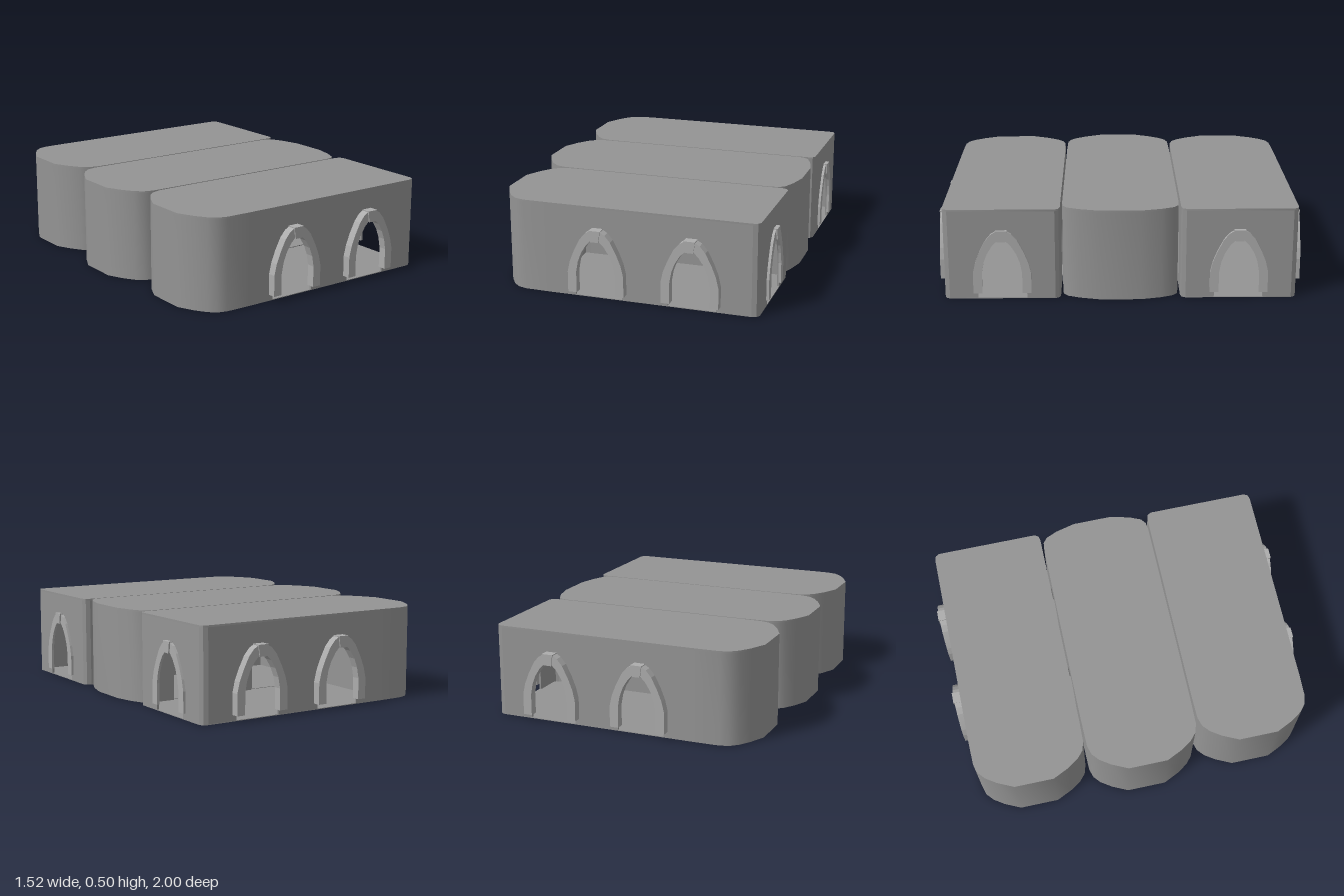
import * as THREE from 'three';
import { toCreasedNormals } from 'three/addons/utils/BufferGeometryUtils.js';

const WALL_MAT = new THREE.MeshStandardMaterial({ color: 0x949494, side: THREE.DoubleSide });
const TRIM_MAT = new THREE.MeshStandardMaterial({ color: 0xacacac, side: THREE.DoubleSide });
const HEIGHT = 0.505, FLOOR = 0.004, ROOF = 0.01, WALL = 0.012, HALF = 0.313;
const END_X = 0.737, BLOCK_Z = 0.636;

// Right halves of the arch curves, from the foot up to the crown
const FRAME_OUT = [[0.156, 0.035], [0.156, 0.15], [0.142, 0.21], [0.118, 0.27], [0.085, 0.335], [0.055, 0.37], [0.03, 0.385]];
const FRAME_IN = [[0.108, 0.035], [0.108, 0.15], [0.097, 0.21], [0.078, 0.26], [0.05, 0.305], [0.025, 0.33]];
const OPENING = [[0.132, FLOOR], [0.13, 0.15], [0.118, 0.21], [0.095, 0.27], [0.062, 0.325], [0.028, 0.355]];

// Half footprints (x, z), from the -x end to the +x end
const ROUND_END = [[-0.732, 0.11], [-0.69, 0.20], [-0.65, 0.26], [-0.61, 0.295], [-0.56, 0.31], [-0.43, HALF]];
const SQUARE_CORNER = [[0.70, HALF], [0.725, 0.306], [END_X, 0.285]];
const MID_LEFT = ROUND_END.map(([x, z]) => [x < -0.5 ? x - 0.031 : x, z]);
const MID_RIGHT = [[0.63, HALF], [0.675, 0.308], [0.705, 0.285], [0.733, 0.22], [0.76, 0.11]];

const toShape = (pts) => new THREE.Shape(pts.map(([x, y]) => new THREE.Vector2(x, y)));
const flipX = (pts) => pts.map(([x, y]) => [-x, y]);
const flipZ = (pts) => pts.map(([x, z]) => [x, -z]);
const reversed = (pts) => [...pts].reverse();

function extrude(pts, depth, name, material = WALL_MAT, crease = 0.6) {
  const geo = new THREE.ExtrudeGeometry(toShape(pts), { depth, bevelEnabled: false });
  const mesh = new THREE.Mesh(toCreasedNormals(geo, crease), material);
  mesh.name = name;
  return mesh;
}

// Extrude a plan outline upwards from y0 to y1
function slab(pts, y0, y1, name) {
  const mesh = extrude(flipZ(pts), y1 - y0, name);
  mesh.geometry.rotateX(-Math.PI / 2);
  mesh.position.y = y0;
  return mesh;
}

// Upright wall of constant thickness along a plan path, thickened inwards
function curvedWall(path, name) {
  const inner = path.map(([x, z], i) => {
    const a = path[Math.max(i - 1, 0)], b = path[Math.min(i + 1, path.length - 1)];
    const n = new THREE.Vector2(a[1] - b[1], b[0] - a[0]).normalize();
    if (n.x * x + n.y * z > 0) n.negate();
    return [x + n.x * WALL, z + n.y * WALL];
  });
  return slab([...path, ...reversed(inner)], FLOOR, HEIGHT - ROOF, name);
}

// Flat wall with arched openings that reach the floor
function archedWall(x0, x1, centers, name) {
  const pts = [[x0, FLOOR]];
  for (const c of centers) {
    for (const [x, y] of [...flipX(OPENING), ...reversed(OPENING)]) pts.push([c + x, y]);
  }
  pts.push([x1, FLOOR], [x1, HEIGHT - ROOF], [x0, HEIGHT - ROOF]);
  return extrude(pts, WALL, name);
}

// Raised, faceted arch surround with a keystone, facing +z
function archFrame(depth, keyDepth) {
  const g = new THREE.Group();
  g.name = 'archFrame';
  const ring = [...FRAME_OUT, ...reversed(flipX(FRAME_OUT)), ...flipX(FRAME_IN), ...reversed(FRAME_IN)];
  g.add(extrude(ring, depth, 'archSurround', TRIM_MAT, 0.1));
  const key = [[-0.022, 0.328], [0.022, 0.328], [0.031, 0.39], [-0.031, 0.39]];
  g.add(extrude(key, keyDepth, 'keystone', TRIM_MAT));
  return g;
}

// Hollow block: floor, roof, two long arched walls, rounded end and a partition in front of it
function block(name, left, right, partitionX, arches) {
  const g = new THREE.Group();
  g.name = name;
  const half = [...left, ...right];
  const plan = [...half, ...reversed(flipZ(half))];
  g.add(slab(plan, 0, FLOOR, 'floor'), slab(plan, HEIGHT - ROOF, HEIGHT, 'roof'));
  const x0 = left[left.length - 1][0], x1 = right[0][0];
  const front = archedWall(x0, x1, arches, 'frontWall');
  front.position.z = HALF - WALL;
  const back = archedWall(x0, x1, arches, 'backWall');
  back.position.z = -HALF;
  const roomHeight = HEIGHT - ROOF - FLOOR;
  const partition = new THREE.Mesh(new THREE.BoxGeometry(WALL, roomHeight, 2 * (HALF - WALL)), WALL_MAT);
  partition.name = 'partition';
  partition.position.set(partitionX - WALL / 2, FLOOR + roomHeight / 2, 0);
  g.add(front, back, partition);
  g.add(curvedWall([...reversed(flipZ(left)), ...left], 'roundedEndWall'));
  return g;
}

// Outer block: square +x end with its own arch, framed arches on the outward side
function outerBlock(name, side, arches) {
  const g = block(name, ROUND_END, SQUARE_CORNER, -0.46, arches);
  g.position.z = side * BLOCK_Z;
  g.add(curvedWall(SQUARE_CORNER, 'cornerWall'), curvedWall(flipZ(SQUARE_CORNER), 'cornerWall'));
  const end = archedWall(-0.285, 0.285, [0], 'endWall');
  end.rotation.y = Math.PI / 2;
  end.position.x = END_X - WALL;
  g.add(end);
  for (const c of arches) {
    const frame = archFrame(0.045, 0.051);
    frame.position.set(c, 0, side * HALF);
    if (side < 0) frame.rotation.y = Math.PI;
    g.add(frame);
  }
  const endFrame = archFrame(0.014, 0.022);
  endFrame.rotation.y = Math.PI / 2;
  endFrame.position.x = END_X;
  g.add(endFrame);
  return g;
}

export function createModel() {
  const model = new THREE.Group();
  model.name = 'archedBlocks';
  model.add(outerBlock('frontBlock', 1, [-0.137, 0.38]));
  model.add(outerBlock('backBlock', -1, [-0.117, 0.4]));
  const middle = block('middleBlock', MID_LEFT, MID_RIGHT, -0.49, [-0.127, 0.39]);
  middle.add(curvedWall([...MID_RIGHT, ...reversed(flipZ(MID_RIGHT))], 'roundedEndWall'));
  model.add(middle);
  return model;
}
